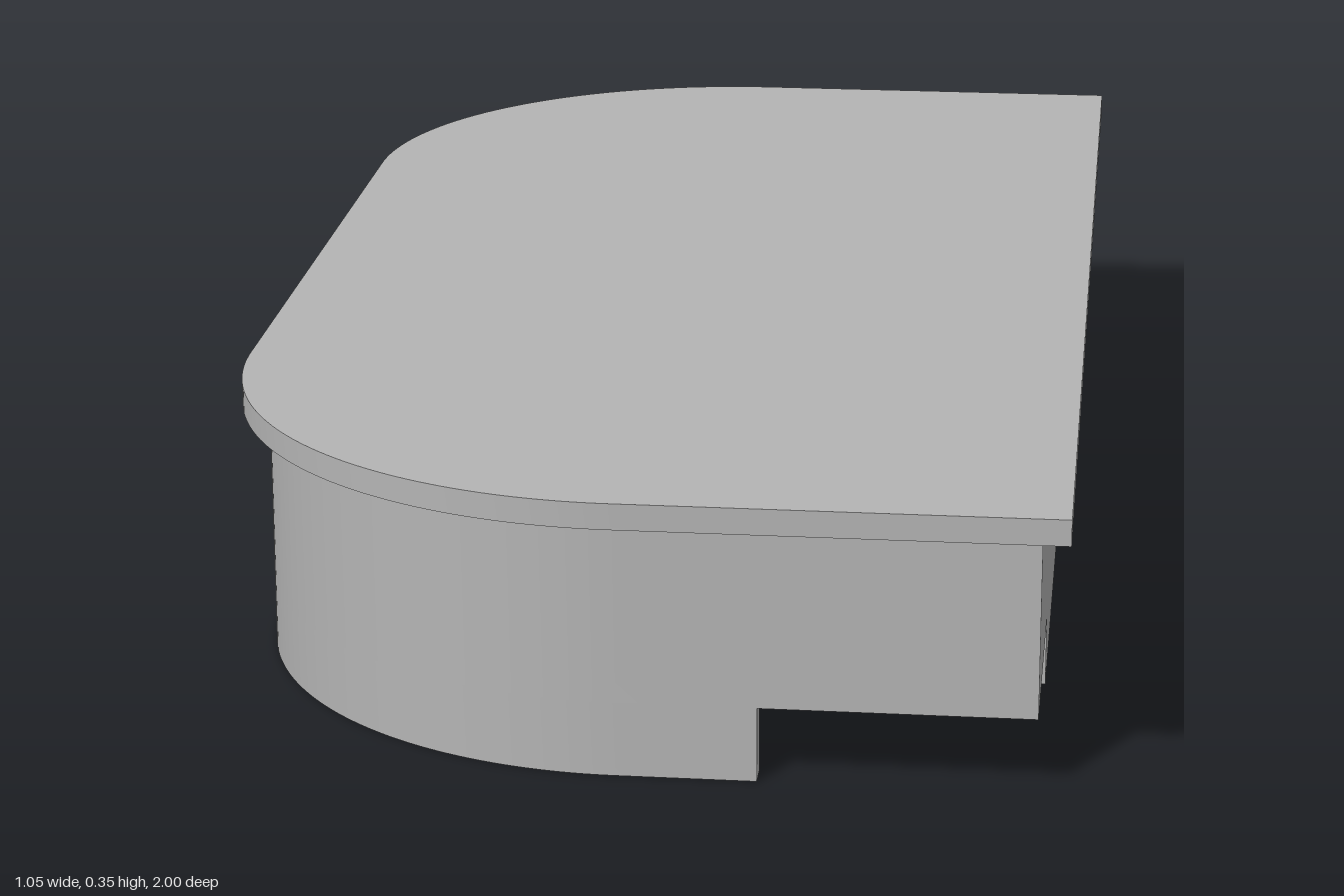
import * as THREE from 'three';
import { toCreasedNormals } from 'three/addons/utils/BufferGeometryUtils.js';

const LID = 0.527;            // lid half width and corner radius
const OUT = 0.494, IN = 0.462; // wall outer and inner radius
const CZ = 0.473;             // distance of the corner centres from the middle
const LID_Y = 0.318, TOP_Y = 0.35, NOTCH_Y = 0.092;

export function createModel() {
  const group = new THREE.Group();
  const grey = new THREE.MeshStandardMaterial({ color: 0xb4b4b4 });
  grey.name = 'plain grey';

  const add = (name, geometry) => {
    const mesh = new THREE.Mesh(toCreasedNormals(geometry, 0.5), grey);
    mesh.name = name;
    group.add(mesh);
  };

  // Extrude a plan outline (x, -z) upward between two heights
  const slab = (name, shape, y0, y1) => {
    const g = new THREE.ExtrudeGeometry(shape, { depth: y1 - y0, bevelEnabled: false, curveSegments: 32 });
    g.rotateX(-Math.PI / 2).translate(0, y0, 0);
    add(name, g);
  };

  // Lid: two rounded corners on the -x side
  const lid = new THREE.Shape();
  lid.moveTo(LID, -1);
  lid.lineTo(LID, 1);
  lid.lineTo(0, 1);
  lid.absarc(0, CZ, LID, Math.PI / 2, Math.PI, false);
  lid.lineTo(-LID, -CZ);
  lid.absarc(0, -CZ, LID, Math.PI, Math.PI * 1.5, false);
  slab('lid', lid, LID_Y, TOP_Y);

  // Upper wall band: both rounded ends and the straight +x side
  const eo = CZ + OUT, ei = CZ + IN;
  const upper = new THREE.Shape();
  upper.moveTo(-OUT, CZ);
  upper.absarc(0, CZ, OUT, Math.PI, Math.PI / 2, true);
  upper.lineTo(OUT, eo);
  upper.lineTo(OUT, -eo);
  upper.lineTo(0, -eo);
  upper.absarc(0, -CZ, OUT, Math.PI * 1.5, Math.PI, true);
  upper.lineTo(-IN, -CZ);
  upper.absarc(0, -CZ, IN, Math.PI, Math.PI * 1.5, false);
  upper.lineTo(IN, -ei);
  upper.lineTo(IN, ei);
  upper.lineTo(0, ei);
  upper.absarc(0, CZ, IN, Math.PI / 2, Math.PI, false);
  slab('upperWall', upper, NOTCH_Y, LID_Y);

  // Lower wall bands stop short of the front +x corner, leaving the notch
  const back = new THREE.Shape();
  back.moveTo(-OUT, CZ);
  back.absarc(0, CZ, OUT, Math.PI, Math.PI / 2, true);
  back.lineTo(OUT, eo);
  back.lineTo(OUT, -0.625);
  back.lineTo(IN, -0.625);
  back.lineTo(IN, ei);
  back.lineTo(0, ei);
  back.absarc(0, CZ, IN, Math.PI / 2, Math.PI, false);
  slab('lowerBackWall', back, 0, NOTCH_Y);

  const front = new THREE.Shape();
  front.moveTo(0.167, -eo);
  front.lineTo(0, -eo);
  front.absarc(0, -CZ, OUT, Math.PI * 1.5, Math.PI, true);
  front.lineTo(-IN, -CZ);
  front.absarc(0, -CZ, IN, Math.PI, Math.PI * 1.5, false);
  front.lineTo(0.167, -ei);
  slab('lowerFrontWall', front, 0, NOTCH_Y);

  // Straight -x wall with a rounded slot that flares at the bottom
  const w = 0.21, r = 0.09, top = 0.285, H = Math.PI / 2;
  const side = new THREE.Shape();
  side.moveTo(-CZ, 0);
  side.lineTo(-w - r, 0);
  side.absarc(-w - r, r, r, -H, 0, false);
  side.absarc(-w + r, top - r, r, Math.PI, H, true);
  side.absarc(w - r, top - r, r, H, 0, true);
  side.absarc(w + r, r, r, Math.PI, Math.PI + H, false);
  side.lineTo(CZ, 0);
  side.lineTo(CZ, LID_Y);
  side.lineTo(-CZ, LID_Y);
  const sideGeo = new THREE.ExtrudeGeometry(side, { depth: OUT - IN, bevelEnabled: false, curveSegments: 12 });
  sideGeo.rotateY(-H).translate(-IN, 0, 0);
  add('slottedSideWall', sideGeo);

  return group;
}
